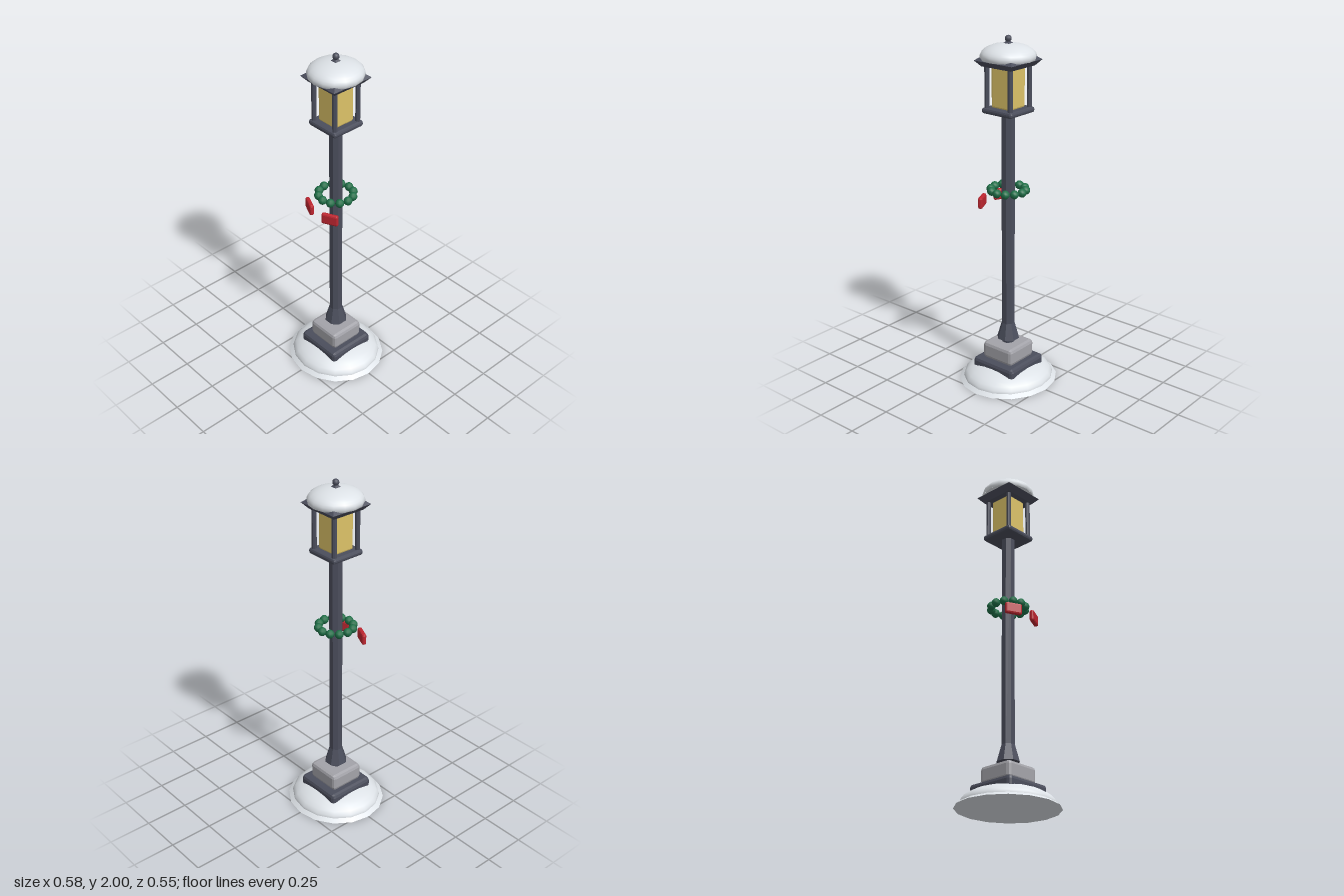
import * as THREE from 'three';
import { RoundedBoxGeometry } from 'three/addons/geometries/RoundedBoxGeometry.js';

const mat = (name, color, flatShading = false) => {
  const m = new THREE.MeshStandardMaterial({ color, flatShading });
  m.name = name;
  return m;
};

export function createModel() {
  const iron = mat('iron', 0x4b4e5c);
  const ironFlat = iron;
  const snow = mat('snow', 0xe4e9ee);
  const stone = mat('stone', 0xa3a3a9);
  const glass = mat('glass', 0xdcc268);
  const green = mat('garland green', 0x1f7048);
  const red = mat('ribbon red', 0xbe2630);

  const model = new THREE.Group();
  model.name = 'lampPost';

  const add = (name, geometry, material, x = 0, y = 0, z = 0) => {
    const mesh = new THREE.Mesh(geometry, material);
    mesh.name = name;
    mesh.position.set(x, y, z);
    model.add(mesh);
    return mesh;
  };

  // Box with faceted bevels, placed between two heights
  const block = (name, w, y0, y1, d, bevel, material, x = 0, z = 0) => {
    const g = new RoundedBoxGeometry(w, y1 - y0, d, 1, bevel);
    g.computeVertexNormals();
    return add(name, g, material, x, (y0 + y1) / 2, z);
  };

  // Faceted prism or frustum with a flat side facing front; sizes are half widths
  const prism = (name, sides, y0, half0, y1, half1, material, x = 0, z = 0) => {
    const k = 1 / Math.cos(Math.PI / sides);
    let g = new THREE.CylinderGeometry(half1 * k, half0 * k, y1 - y0, sides);
    g.rotateY(Math.PI / sides);
    g = g.toNonIndexed();
    g.computeVertexNormals();
    return add(name, g, material, x, (y0 + y1) / 2, z);
  };

  // Snow mound around the foot, slightly narrower front to back
  const rim = add('snowRim', new THREE.CylinderGeometry(0.262, 0.29, 0.02, 16), snow, 0, 0.01);
  rim.scale.z = 0.952;
  const mound = add('snowMound',
    new THREE.SphereGeometry(1, 16, 8, 0, Math.PI * 2, 0, Math.PI / 2), snow, 0, 0.012);
  mound.scale.set(0.267, 0.1, 0.254);

  // Foot and pole
  block('basePlate', 0.29, 0.004, 0.13, 0.29, 0.02, iron);
  block('stoneBlock', 0.21, 0.125, 0.226, 0.21, 0.02, stone);
  prism('poleSkirt', 8, 0.25, 0.06, 0.345, 0.035, ironFlat);
  prism('pole', 8, 0.2, 0.035, 1.6, 0.035, ironFlat);

  // Lantern
  block('lanternFloor', 0.205, 1.582, 1.614, 0.205, 0.012, iron);
  block('lanternGlass', 0.13, 1.612, 1.85, 0.13, 0.01, glass);
  for (const x of [-0.08, 0.08])
    for (const z of [-0.08, 0.08])
      prism('lanternBar', 8, 1.6, 0.013, 1.85, 0.013, ironFlat, x, z);

  // Flared eaves and pyramid roof
  prism('eaves', 4, 1.836, 0.1, 1.868, 0.128, ironFlat);
  prism('roof', 4, 1.868, 0.128, 1.955, 0.02, ironFlat);
  prism('roofTip', 4, 1.955, 0.02, 1.97, 0.006, ironFlat);
  add('finial', new THREE.SphereGeometry(0.0185, 10, 8), iron, 0, 1.9815);

  // Snow cap, closed underneath
  const cap = add('snowCap',
    new THREE.SphereGeometry(1, 16, 10, 0, Math.PI * 2, 0, Math.PI * 0.58), snow, 0, 1.89);
  cap.scale.set(0.151, 0.068, 0.151);
  const under = add('snowCapUnderside', new THREE.CircleGeometry(0.146, 16), snow, 0, 1.8732);
  under.rotation.x = Math.PI / 2;

  // Garland ring
  const bead = new THREE.SphereGeometry(0.025, 8, 6);
  for (let i = 0; i < 12; i++) {
    const a = (i / 12) * Math.PI * 2;
    add('garlandBead', bead, green, Math.cos(a) * 0.097, 1.15, Math.sin(a) * 0.097);
  }

  // Ribbon loops, angled back at their outer ends
  for (const s of [-1, 1]) {
    const loop = block(s > 0 ? 'leftRibbon' : 'rightRibbon',
      0.097, 1.045, 1.11, 0.026, 0.01, red, s * 0.083, 0.118);
    loop.rotation.y = s * 0.44;
  }

  return model;
}
